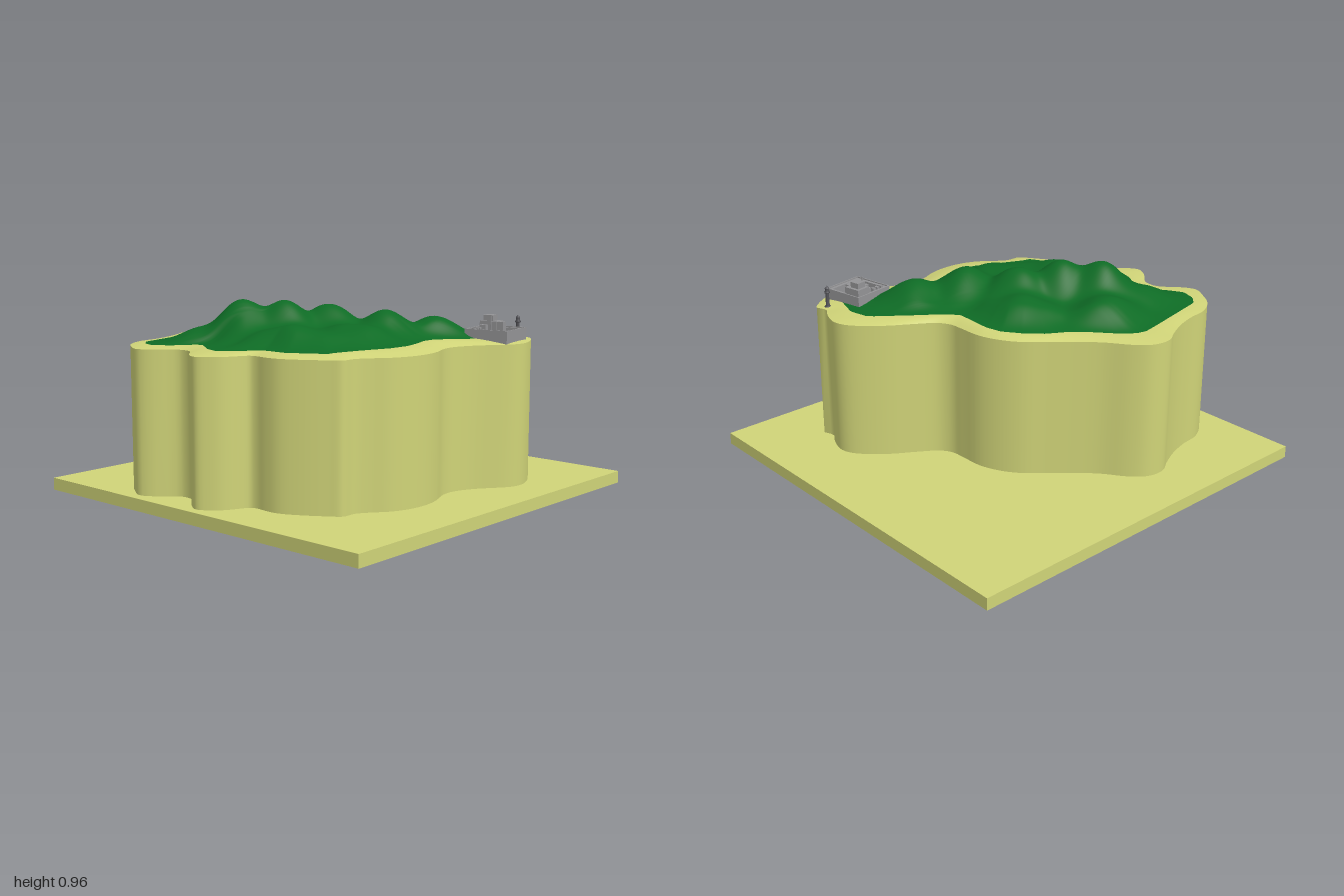
import * as THREE from 'three';

const mat = (color) => new THREE.MeshStandardMaterial({ color, side: THREE.DoubleSide });
const SAND = mat(0xd0d478), GREEN = mat(0x0e6b25), STONE = mat(0x949496), DARK = mat(0x55555a);

// Coast and vegetation outlines as x, z pairs
const COAST = [
  -.95, -.4, -.91, -.48, -.85, -.56, -.75, -.62, -.64, -.635, -.53, -.665, -.42, -.715, -.36, -.75,
  -.3, -.755, -.24, -.735, -.18, -.68, -.1, -.57, 0, -.47, .09, -.39, .18, -.31, .24, -.22, .275, -.12,
  .28, 0, .285, .07, .32, .13, .42, .2, .53, .27, .63, .36, .67, .42, .68, .48, .65, .57, .615, .63,
  .635, .68, .6, .72, .5, .78, .41, .805, .33, .785, .27, .74, .18, .68, .08, .645, 0, .65, -.1, .69,
  -.19, .71, -.3, .705, -.4, .67, -.48, .61, -.54, .575, -.61, .57, -.65, .52, -.72, .41, -.76, .32,
  -.765, .25, -.76, .19, -.77, .155, -.82, .13, -.88, .1, -.92, .06, -.955, 0, -.92, -.07, -.85, -.14,
  -.835, -.17, -.835, -.23, -.86, -.27, -.91, -.32];
const FOREST = [
  -.855, -.4, -.83, -.48, -.78, -.53, -.41, -.61, -.33, -.625, -.28, -.615, -.22, -.575, -.12, -.47,
  -.04, -.4, .06, -.345, .14, -.27, .2, -.19, .22, -.11, .215, .08, .26, .14, .37, .235, .54, .39,
  .56, .5, .52, .62, .49, .67, .36, .65, .2, .575, .08, .525, 0, .53, -.1, .565, -.19, .585, -.3, .575,
  -.45, .515, -.56, .475, -.6, .47, -.66, .36, -.69, .3, -.695, .17, -.78, .07, -.825, 0, -.8, -.08,
  -.72, -.2, -.725, -.24, -.8, -.31];

const CX = -0.2, CZ = 0.05, N = 300;

// Distance from the island centre to an outline, sampled at N even angles
function radii(flat, smooth) {
  let pts = [];
  for (let i = 0; i < flat.length; i += 2) pts.push(new THREE.Vector3(flat[i] - CX, 0, flat[i + 1] - CZ));
  if (smooth) pts = new THREE.CatmullRomCurve3(pts, true).getPoints(240).slice(0, -1);
  return Array.from({ length: N }, (_, j) => {
    const c = Math.cos(j / N * Math.PI * 2), s = Math.sin(j / N * Math.PI * 2);
    let best = 0;
    pts.forEach((p, i) => {
      const q = pts[(i + 1) % pts.length];
      const u = c * p.z - s * p.x, v = c * q.z - s * q.x;   // side of the ray
      if (u * v > 0 || u === v) return;
      const t = u / (u - v);
      best = Math.max(best, c * (p.x + (q.x - p.x) * t) + s * (p.z + (q.z - p.z) * t));
    });
    return best;
  });
}

// Skin over closed rings; point(k, j) gives radius and height for ring k, angle j
function rings(count, point) {
  const pos = [], idx = [];
  for (let k = 0; k < count; k++) for (let j = 0; j < N; j++) {
    const a = j / N * Math.PI * 2, [r, y] = point(k, j, a);
    pos.push(CX + Math.cos(a) * r, y, CZ + Math.sin(a) * r);
    if (k === count - 1) continue;
    const p = k * N + j, q = k * N + (j + 1) % N;
    idx.push(p, p + N, q, q, p + N, q + N);
  }
  const g = new THREE.BufferGeometry();
  g.setAttribute('position', new THREE.Float32BufferAttribute(pos, 3));
  g.setIndex(idx);
  g.computeVertexNormals();
  return g;
}

// Hills: x, z, height above the beach, spread
const HILLS = [
  [-.47, -.19, .195, .17], [-.34, -.04, .185, .15], [-.15, .07, .15, .16], [0, .3, .13, .16],
  [.24, .42, .1, .15], [-.3, -.42, .11, .2], [-.5, .15, .09, .22], [0, -.12, .09, .2],
  [-.25, .32, .08, .22], [-.62, -.35, .07, .18]];

const beach = (x, z) => 0.754 + 0.028 * Math.exp(-((x + .1) ** 2 + (z - .2) ** 2) / 0.4);

function hillHeight(x, z, f) {
  let sum = 0;
  for (const [hx, hz, h, s] of HILLS)
    sum += (h * Math.exp(-((x - hx) ** 2 + (z - hz) ** 2) / (s * s))) ** 4;
  const fade = THREE.MathUtils.smoothstep(1 - f, -0.08, 0.35) - THREE.MathUtils.smoothstep(0, -0.08, 0.35) * f;
  const ripple = 0.005 * Math.sin(x * 25 + z * 9) * Math.sin(z * 23 - x * 8);
  return beach(x, z) + fade * (sum ** 0.25 + ripple);
}

export function createModel() {
  const model = new THREE.Group();
  const add = (name, geo, material, parent = model, x = 0, y = 0, z = 0) => {
    const m = new THREE.Mesh(geo, material);
    m.name = name;
    m.position.set(x, y, z);
    parent.add(m);
    return m;
  };

  // Square base, hollow underneath
  const base = new THREE.BoxGeometry(2, 0.06, 2);
  const faces = Array.from(base.index.array);
  faces.splice(18, 6);
  base.setIndex(faces);
  base.clearGroups();
  add('base', base, SAND, model, 0, 0.03, 0);

  // Cliff wall, sandy shore and wooded hills
  const coast = radii(COAST, true), forest = radii(FOREST, false);
  add('cliff', rings(2, (k, j) => [coast[j], k ? 0.748 : 0.045]), SAND);
  add('shore', rings(7, (k, j, a) => {
    const t = k / 6, r = THREE.MathUtils.lerp(coast[j], forest[j], t);
    const top = beach(CX + Math.cos(a) * r, CZ + Math.sin(a) * r);
    return [r, THREE.MathUtils.lerp(0.748, top, Math.sin(t * Math.PI / 2))];
  }), SAND);
  add('woodedHills', rings(45, (k, j, a) => {
    const f = 1 - k / 44, r = forest[j] * f;
    return [r, hillHeight(CX + Math.cos(a) * r, CZ + Math.sin(a) * r, f)];
  }), GREEN);

  // Walled fort on the point
  const fort = new THREE.Group();
  fort.name = 'fort';
  fort.position.set(0.407, 0.747, 0.646);
  fort.rotation.y = 0.17;
  model.add(fort);
  const block = (name, x, z, w, d, h, y = 0) =>
    add(name, new THREE.BoxGeometry(w, h, d), STONE, fort, x, y + h / 2, z);
  const S = 0.222, T = 0.022, o = (S - T) / 2;
  for (const s of [-1, 1]) {
    block('fortWall', 0, s * o, S, T, 0.058);
    block('fortWall', s * o, 0, T, S - 2 * T, 0.058);
    block('parapet', 0, s * (S / 2 - 0.003), S, 0.006, 0.006, 0.058);
    block('parapet', s * (S / 2 - 0.003), 0, 0.006, S - 0.012, 0.006, 0.058);
  }
  block('keep', 0.058, -0.05, 0.075, 0.09, 0.092);
  block('keepTower', 0.055, -0.055, 0.05, 0.05, 0.028, 0.092);
  block('annex', 0.045, 0.005, 0.035, 0.04, 0.09);
  block('stairs', 0.005, -0.065, 0.03, 0.03, 0.075);
  for (const i of [0, 1, 2]) block('hut', -0.083 + i * 0.026, -0.075, 0.016, 0.02, 0.066);
  for (const z of [0.02, 0.045]) block('hut', -0.075, z, 0.022, 0.018, 0.05);
  block('hut', -0.022, 0.075, 0.018, 0.02, 0.055);
  add('flagpole', new THREE.CylinderGeometry(0.003, 0.003, 0.12, 8), STONE, fort, -0.012, 0.06, -0.02);

  // Light tower beside the fort
  const profile = [[0, 0], [.016, 0], [.016, .008], [.01, .012], [.0085, .075], [.014, .078],
    [.014, .084], [.009, .084], [.009, .1], [.012, .1], [0, .114]].map(p => new THREE.Vector2(...p));
  add('lightTower', new THREE.LatheGeometry(profile, 16), DARK, model, 0.59, 0.747, 0.65);
  return model;
}
